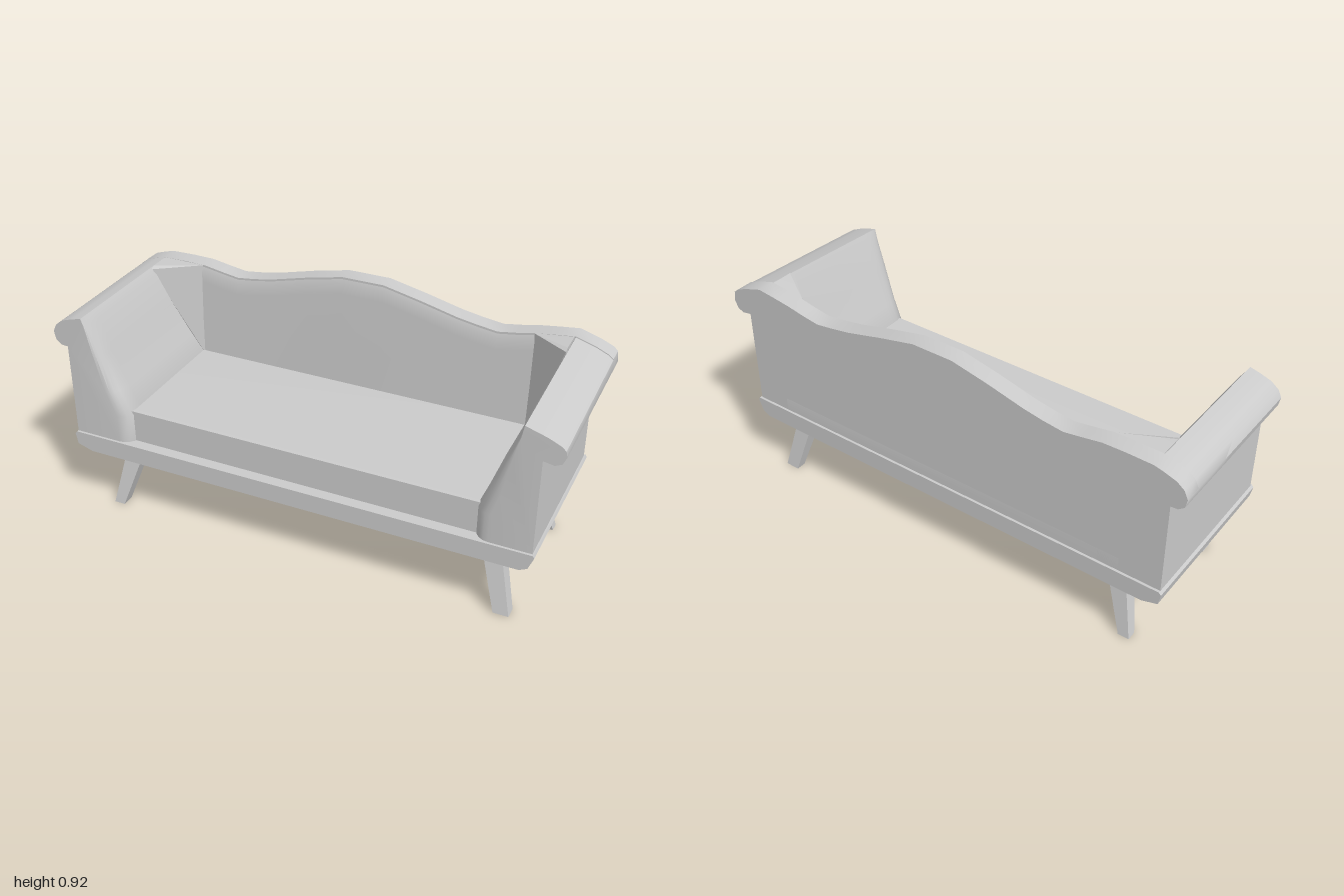
import * as THREE from 'three';
import { toCreasedNormals } from 'three/addons/utils/BufferGeometryUtils.js';
import { ConvexGeometry } from 'three/addons/geometries/ConvexGeometry.js';

const material = new THREE.MeshStandardMaterial({ color: 0xcccccc });
const FRONT = 0.335, BACK = -0.335;

// Outer roll of each arm, from the foot of the outer wall up to the crest
const leftRoll = [[0.92, 0.33], [0.92, 0.735], [0.96, 0.728], [0.985, 0.74], [0.998, 0.77],
  [0.993, 0.81], [0.975, 0.825], [0.93, 0.845], [0.85, 0.87]];
const rightRoll = [[-0.943, 0.33], [-0.943, 0.715], [-0.97, 0.717], [-0.993, 0.735], [-1, 0.77],
  [-0.985, 0.802], [-0.955, 0.825], [-0.91, 0.84], [-0.87, 0.85]];
// Inner face of each arm, from the crest down to the seat
const leftInner = [[0.828, 0.82], [0.785, 0.68], [0.735, 0.54], [0.70, 0.45], [0.70, 0.33]];
const rightInner = [[-0.85, 0.82], [-0.80, 0.69], [-0.74, 0.55], [-0.69, 0.45], [-0.69, 0.33]];
// Serpentine crest of the back, from right to left
const crest = [[-0.77, 0.852], [-0.68, 0.85], [-0.6, 0.836], [-0.53, 0.825], [-0.45, 0.835], [-0.37, 0.85],
  [-0.22, 0.888], [-0.07, 0.92], [0.1, 0.92], [0.25, 0.887], [0.4, 0.85], [0.48, 0.836], [0.56, 0.825],
  [0.63, 0.836], [0.7, 0.85], [0.77, 0.86]];

const shapeOf = points => new THREE.Shape(points.map(([x, y]) => new THREE.Vector2(x, y)));

function extrude(points, z0, z1, steps = 1) {
  const geometry = new THREE.ExtrudeGeometry(shapeOf(points),
    { depth: z1 - z0, steps, bevelEnabled: false, curveSegments: 8 });
  return geometry.translate(0, 0, z0);
}

function moveVertices(geometry, rule) {
  const p = geometry.attributes.position;
  const v = new THREE.Vector3();
  for (let i = 0; i < p.count; i++) {
    rule(v.fromBufferAttribute(p, i));
    p.setXYZ(i, v.x, v.y, v.z);
  }
  return geometry;
}

function part(name, geometry, crease = 0.65) {
  const mesh = new THREE.Mesh(toCreasedNormals(geometry, crease), material);
  mesh.name = name;
  return mesh;
}

// Scrolled arm: softened on its inner front edge, falling by drop toward the front
function arm(name, roll, inner, drop) {
  const peak = Math.abs(roll.at(-1)[0]), r = 0.06;
  const geometry = extrude([...roll, ...inner], BACK, FRONT, 14);
  moveVertices(geometry, v => {
    const t = (v.z - BACK) / (FRONT - BACK);
    const s = 1 - (1 - t) ** 2;
    v.z = BACK + s * (FRONT - BACK);
    if (v.y > 0.7) v.y -= drop * s * (v.y > 0.78 ? 1 : 0.5);
    const d = FRONT - v.z;
    if (Math.abs(v.x) < peak - 0.005 && d < r) {
      const pull = r - Math.sqrt(r * r - (r - d) ** 2);
      const fade = THREE.MathUtils.clamp((0.86 - v.y) / 0.35, 0.1, 1);
      v.x += Math.sign(v.x) * pull * fade;
    }
  });
  return part(name, geometry);
}

// Seat with a rounded front edge, its side profile swept across the width
function seat() {
  const profile = [[-0.3, 0.33], [FRONT, 0.33], [FRONT, 0.39]];
  for (let i = 1; i <= 8; i++) {
    const a = (i / 8) * Math.PI / 2;
    profile.push([0.26 + 0.075 * Math.cos(a), 0.39 + 0.078 * Math.sin(a)]);
  }
  profile.push([-0.3, 0.466]);
  const geometry = extrude(profile, -0.775, 0.775);
  return part('seat', geometry.rotateY(-Math.PI / 2).applyMatrix4(
    new THREE.Matrix4().makeRotationY(Math.PI)).rotateY(0).applyMatrix4(
    new THREE.Matrix4().makeRotationY(0)));
}

// Padded face of the back, leaning forward toward the seat
function backCushion() {
  const top = crest.map(([x, y]) => [x, y - 0.025]);
  const mid = crest.map(([x, y]) => [x, y - 0.07]);
  const rows = [
    crest.map(([x, y]) => [x, y, -0.268]),
    top.map(([x, y]) => [x, y, -0.259]),
    mid.map(([x, y]) => [x, y, -0.257]),
    crest.map(([x]) => [x, 0.62, -0.25]),
    crest.map(([x]) => [x, 0.45, -0.244]),
  ];
  const n = crest.length, index = [];
  for (let j = 0; j < rows.length - 1; j++) {
    for (let i = 0; i < n - 1; i++) {
      const a = j * n + i, b = a + n;
      index.push(a, b, a + 1, a + 1, b, b + 1);
    }
  }
  const geometry = new THREE.BufferGeometry();
  geometry.setAttribute('position', new THREE.Float32BufferAttribute(rows.flat(2), 3));
  geometry.setIndex(index);
  return part('backCushion', geometry, 0.9);
}

// Slanted filler where an arm meets the back
function corner(name, side, crestX, seatX, y) {
  const points = [[crestX, y - 0.008, -0.155], [crestX, y, -0.175], [seatX, 0.85, -0.262], [seatX, 0.45, -0.245],
    [crestX, y, -0.3], [seatX, 0.848, -0.3], [crestX, 0.45, -0.3], [seatX, 0.45, -0.3]];
  return part(name, new ConvexGeometry(points.map(([x, py, z]) => new THREE.Vector3(side * x, py, z))), 0.4);
}

// Tapered leg splayed outward; ranges are [from, to] at the top and at the foot
function leg(name, topX, footX, topZ, footZ) {
  const geometry = moveVertices(new THREE.BoxGeometry(1, 1, 1), v => {
    const [xs, zs] = v.y > 0 ? [topX, topZ] : [footX, footZ];
    v.set(xs[v.x > 0 ? 1 : 0], v.y > 0 ? 0.27 : 0, zs[v.z > 0 ? 1 : 0]);
  });
  return part(name, geometry, 0.3);
}

export function createModel() {
  const sofa = new THREE.Group();
  sofa.name = 'sofa';

  // Base rail with chamfered lower ends
  sofa.add(part('baseRail', extrude([[-0.943, 0.335], [-0.952, 0.325], [-0.943, 0.28], [-0.88, 0.26],
    [0.88, 0.26], [0.91, 0.275], [0.93, 0.325], [0.925, 0.335]], -0.345, 0.345), 0.3));

  // Back panel following the whole outline
  const outline = [...rightRoll, ...crest, ...leftRoll.slice().reverse()];
  sofa.add(part('backPanel', extrude(outline, BACK, -0.265)));
  sofa.add(backCushion(), seat());

  sofa.add(arm('leftArm', leftRoll, leftInner, 0.035));
  sofa.add(arm('rightArm', rightRoll, rightInner, 0.005));
  sofa.add(corner('leftCorner', 1, 0.845, 0.70, 0.868));
  sofa.add(corner('rightCorner', -1, 0.868, 0.69, 0.85));

  // Legs
  for (const [end, topZ, footZ] of [['Front', [0.19, 0.25], [0.25, 0.3]],
    ['Back', [-0.265, -0.2], [-0.31, -0.27]]]) {
    sofa.add(leg(`left${end}Leg`, [0.71, 0.785], [0.79, 0.85], topZ, footZ));
    sofa.add(leg(`right${end}Leg`, [-0.77, -0.69], [-0.83, -0.785], topZ, footZ));
  }
  return sofa;
}
